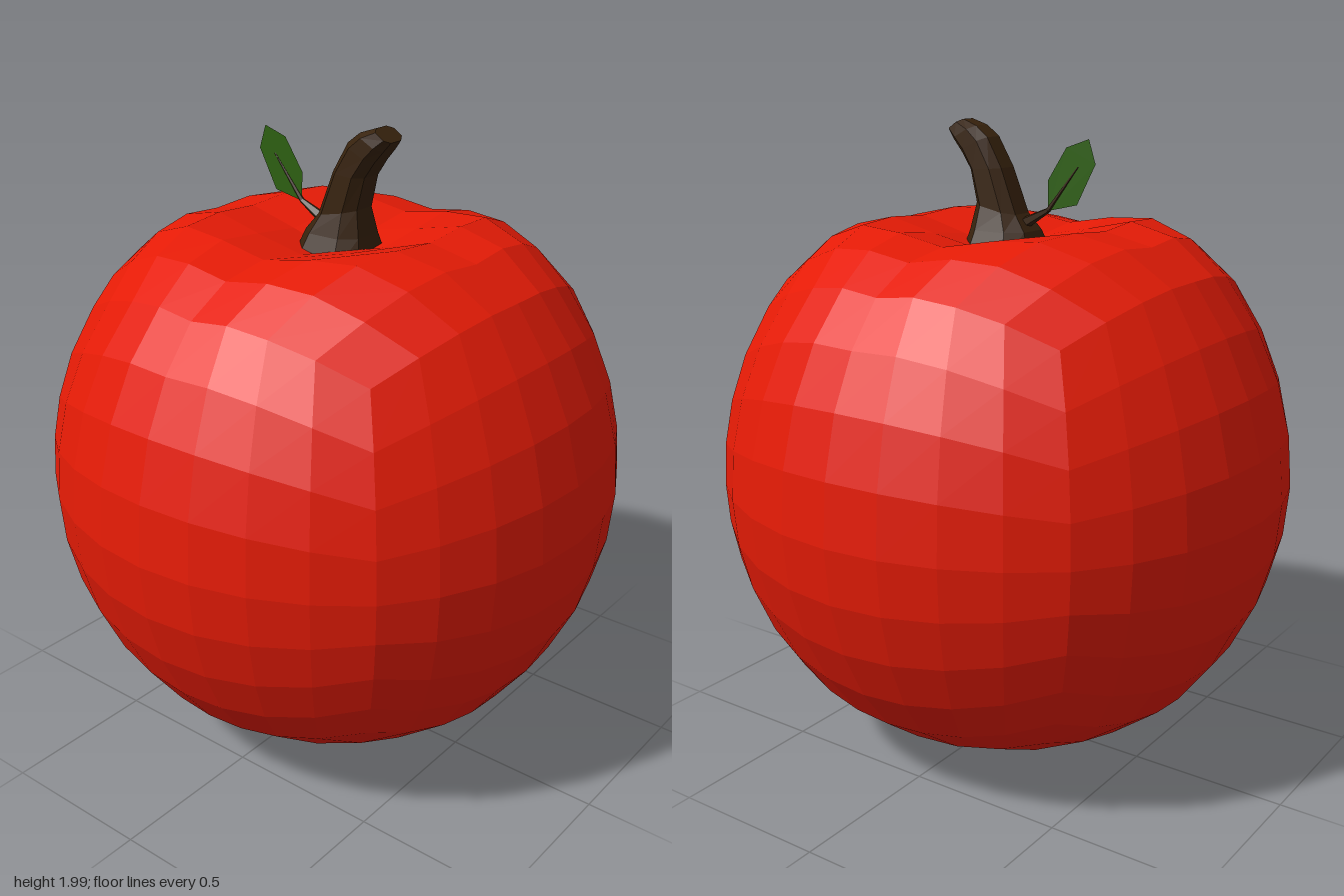
import * as THREE from 'three';

const R = 0.89, CY = 0.895;

function mat(color, extra = {}) {
  return new THREE.MeshStandardMaterial({ color, flatShading: true, ...extra });
}

function part(name, geometry, material) {
  const mesh = new THREE.Mesh(geometry, material);
  mesh.name = name;
  return mesh;
}

// Move every vertex of a geometry by a rule
function reshape(geometry, rule) {
  const p = geometry.attributes.position, v = new THREE.Vector3();
  for (let i = 0; i < p.count; i++) {
    rule(v.fromBufferAttribute(p, i));
    p.setXYZ(i, v.x, v.y, v.z);
  }
  geometry.computeVertexNormals();
  return geometry;
}

// One normal per four-sided facet (two triangles each)
function facetQuads(geometry) {
  const g = geometry.toNonIndexed();
  g.computeVertexNormals();
  const n = g.attributes.normal, a = new THREE.Vector3(), b = new THREE.Vector3();
  for (let i = 0; i < n.count; i += 6) {
    a.fromBufferAttribute(n, i).add(b.fromBufferAttribute(n, i + 3)).normalize();
    for (let k = 0; k < 6; k++) n.setXYZ(i + k, a.x, a.y, a.z);
  }
  return g;
}

// Height change of the crown by distance from the axis: [radius, offset]
const CROWN = [[0, -0.195], [0.174, -0.125], [0.343, -0.032], [0.502, 0.012], [0.643, 0.032], [0.746, 0.022], [0.89, 0]];
function crownOffset(r) {
  for (let i = 1; i < CROWN.length; i++) {
    const [r0, o0] = CROWN[i - 1], [r1, o1] = CROWN[i];
    if (r <= r1) return THREE.MathUtils.lerp(o0, o1, (r - r0) / (r1 - r0));
  }
  return 0;
}

// Fruit: a cube rounded almost to a sphere, with a saddle-shaped dip in the crown
function fruitGeometry() {
  const q = Math.PI / 4;
  const box = reshape(new THREE.BoxGeometry(2, 2, 2, 8, 8, 8), (v) => {
    v.set(Math.tan(v.x * q), Math.tan(v.y * q), Math.tan(v.z * q)).normalize();
    const major = Math.max(Math.abs(v.x), Math.abs(v.y), Math.abs(v.z));
    v.multiplyScalar(R * (1 + 0.068 * (1 - major)));
    if (v.y > 0) {
      const r = Math.hypot(v.x, v.z * 0.82);
      const fade = 1 - THREE.MathUtils.smoothstep(r, 0.42, 0.7);
      const lift = 0.035 * Math.min(1, Math.abs(v.x * v.z) / 0.1) * fade;
      v.y += (crownOffset(r) + lift) * Math.min(1, v.y / 0.3);
    }
    v.y += CY;
  });
  return facetQuads(box);
}

// Stem rings, top to base: left edge x, y, right edge x, y, half depth
const STEM = [
  [0.159, 1.998, 0.212, 1.962, 0.045],
  [0.106, 1.98, 0.19, 1.935, 0.055],
  [0.063, 1.947, 0.16, 1.9, 0.058],
  [0.01, 1.857, 0.125, 1.85, 0.062],
  [-0.045, 1.72, 0.1, 1.75, 0.067],
  [-0.085, 1.67, 0.116, 1.67, 0.09],
  [-0.125, 1.57, 0.142, 1.57, 0.135],
];

function stemGeometry() {
  const n = STEM.length - 1;
  const r = 1 / Math.cos(Math.PI / 8);
  const square = (c) => Math.sign(c) * Math.abs(c) ** 0.7;
  return reshape(new THREE.CylinderGeometry(r, r, 1, 8, n, false, Math.PI / 8), (v) => {
    const [lx, ly, rx, ry, depth] = STEM[Math.round((0.5 - v.y) * n)];
    const t = (square(v.x) + 1) / 2;
    v.set(THREE.MathUtils.lerp(lx, rx, t), THREE.MathUtils.lerp(ly, ry, t), square(v.z) * depth);
  });
}

// Tapered rod between two points
function rod(name, a, b, ra, rb, material) {
  const dir = b.clone().sub(a);
  const mesh = part(name, new THREE.CylinderGeometry(rb, ra, dir.length(), 5), material);
  mesh.position.copy(a).addScaledVector(dir, 0.5);
  mesh.quaternion.setFromUnitVectors(new THREE.Vector3(0, 1, 0), dir.normalize());
  return mesh;
}

export function createModel() {
  const model = new THREE.Group();
  model.name = 'apple';
  const brown = mat(0x37220d);

  model.add(part('fruit', fruitGeometry(), mat(0xe51b06, { flatShading: false })));
  model.add(part('stem', stemGeometry(), brown));

  // Leaf blade, twig and midrib
  const leaf = new THREE.Group();
  leaf.name = 'leaf';
  const outline = [[-0.14, 1.735], [-0.138, 1.825], [-0.2, 1.925], [-0.275, 1.952], [-0.298, 1.88], [-0.238, 1.758]];
  const shape = new THREE.Shape(outline.map(([x, y]) => new THREE.Vector2(x, y)));
  const blade = reshape(new THREE.ShapeGeometry(shape), (v) => { v.z = -0.07 * (v.x + 0.14); });
  leaf.add(part('leafBlade', blade, mat(0x2d600f, { side: THREE.DoubleSide })));
  const joint = new THREE.Vector3(-0.14, 1.737, 0);
  leaf.add(rod('leafTwig', new THREE.Vector3(-0.02, 1.675, 0), joint, 0.024, 0.008, brown));
  leaf.add(rod('leafMidrib', joint, new THREE.Vector3(-0.24, 1.87, 0.007), 0.008, 0.002, brown));
  model.add(leaf);

  return model;
}
